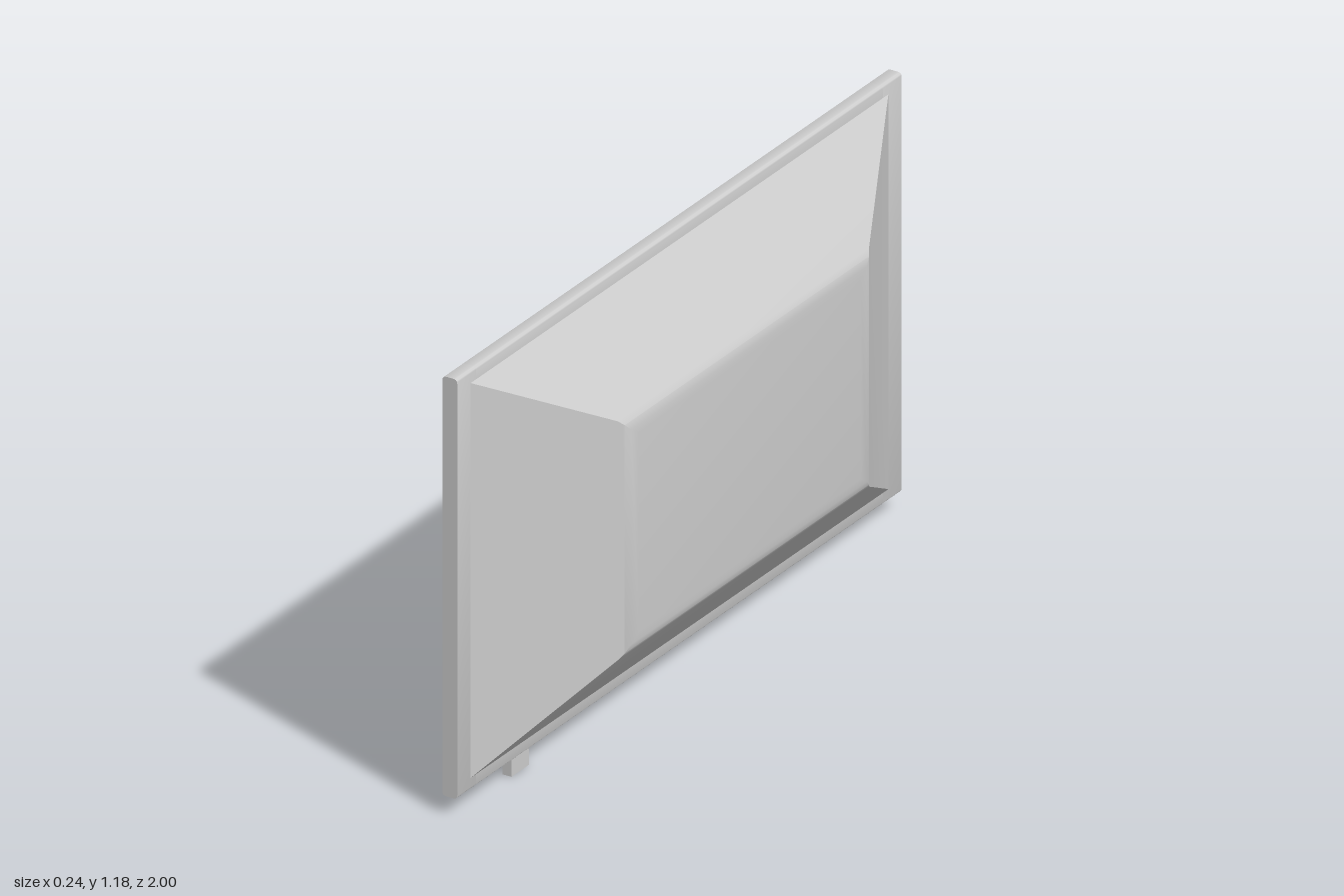
import * as THREE from 'three';
import { toCreasedNormals } from 'three/addons/utils/BufferGeometryUtils.js';

const FRONT = -0.124, REAR = -0.081; // frame thickness along x
const BOTTOM = 0.048, TOP = 1.176, MID = 0.612;
const BEZEL_Y = 0.054, BEZEL_Z = 0.085;

const material = new THREE.MeshStandardMaterial({ color: 0xcccccc });

function addMesh(parent, name, geometry) {
  const mesh = new THREE.Mesh(geometry, material);
  mesh.name = name;
  parent.add(mesh);
  return mesh;
}

function addBox(parent, name, x0, x1, y0, y1, z0, z1) {
  const mesh = addMesh(parent, name, new THREE.BoxGeometry(x1 - x0, y1 - y0, z1 - z0));
  mesh.position.set((x0 + x1) / 2, (y0 + y1) / 2, (z0 + z1) / 2);
}

// Frame bar: a profile in x and y with rounded lower/upper corners, run along z
function barGeometry(y0, y1, rLow, rHigh, z0, z1) {
  const s = new THREE.Shape();
  s.moveTo(FRONT + rLow, y0);
  s.lineTo(REAR - rLow, y0);
  if (rLow) s.quadraticCurveTo(REAR, y0, REAR, y0 + rLow);
  s.lineTo(REAR, y1 - rHigh);
  if (rHigh) s.quadraticCurveTo(REAR, y1, REAR - rHigh, y1);
  s.lineTo(FRONT + rHigh, y1);
  if (rHigh) s.quadraticCurveTo(FRONT, y1, FRONT, y1 - rHigh);
  s.lineTo(FRONT, y0 + rLow);
  if (rLow) s.quadraticCurveTo(FRONT, y0, FRONT + rLow, y0);
  const g = new THREE.ExtrudeGeometry(s, { depth: z1 - z0, bevelEnabled: false, curveSegments: 5 });
  g.translate(0, 0, z0);
  return toCreasedNormals(g, 0.6);
}

// Tapered rear shell lofted through rectangles given as [x, half height, half width]
function housingGeometry() {
  const rings = [
    [REAR - 0.002, 0.533, 0.944],
    [0.102, 0.321, 0.565],
    [0.112, 0.307, 0.55],
    [0.118, 0.289, 0.53],
    [0.12, 0.268, 0.5],
  ].map(([x, h, w]) => [
    [x, MID - h, w], [x, MID - h, -w], [x, MID + h, -w], [x, MID + h, w],
  ]);
  const positions = [];
  const quad = (a, b, c, d) => positions.push(...a, ...b, ...c, ...a, ...c, ...d);
  for (let i = 0; i < rings.length - 1; i++) {
    for (let j = 0; j < 4; j++) {
      const k = (j + 1) % 4;
      quad(rings[i][j], rings[i][k], rings[i + 1][k], rings[i + 1][j]);
    }
  }
  quad(...rings[rings.length - 1]);
  const g = new THREE.BufferGeometry();
  g.setAttribute('position', new THREE.Float32BufferAttribute(positions, 3));
  return toCreasedNormals(g, 0.5);
}

export function createModel() {
  const model = new THREE.Group();
  model.name = 'television';

  // Bezel around the screen
  const frame = new THREE.Group();
  frame.name = 'frame';
  model.add(frame);
  const r = 0.012, inner = 1 - BEZEL_Z;
  addMesh(frame, 'sideBezelNear', barGeometry(BOTTOM, TOP, r, r, inner, 1));
  addMesh(frame, 'sideBezelFar', barGeometry(BOTTOM, TOP, r, r, -1, -inner));
  addMesh(frame, 'topBezel', barGeometry(TOP - BEZEL_Y, TOP, 0, r, -inner, inner));
  addMesh(frame, 'bottomBezel', barGeometry(BOTTOM, BOTTOM + BEZEL_Y, r, 0, -inner, inner));

  // Recessed display
  addBox(model, 'screen', FRONT + 0.02, REAR, BOTTOM + BEZEL_Y, TOP - BEZEL_Y, -inner, inner);

  // Rear shell
  addMesh(model, 'rearHousing', housingGeometry());

  // Small receiver hanging under the bezel
  const receiver = new THREE.Group();
  receiver.name = 'receiver';
  model.add(receiver);
  addBox(receiver, 'receiverBody', -0.115, -0.09, 0, BOTTOM + 0.004, 0.664, 0.742);
  addBox(receiver, 'receiverWindow', -0.119, -0.114, 0.012, 0.034, 0.676, 0.73);

  return model;
}
